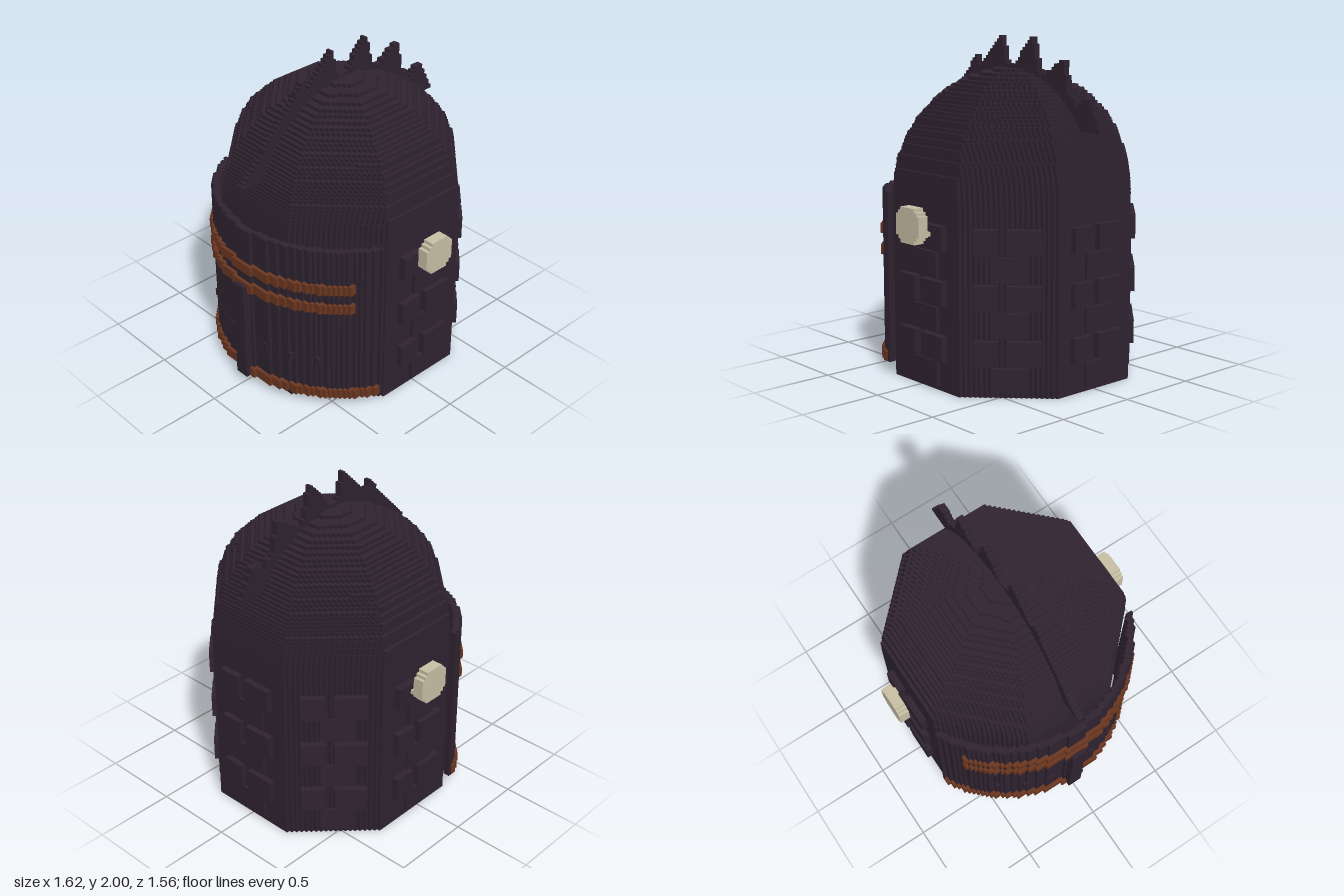
import * as THREE from 'three';
import { mergeGeometries } from 'three/addons/utils/BufferGeometryUtils.js';

const V = 0.0206;   // block size
const CZ = -0.05;   // z of the tower axis
const APO = 0.685;  // octagon apothem

const mat = (name, color) => {
  const m = new THREE.MeshStandardMaterial({ color });
  m.name = name;
  return m;
};

function box(x0, x1, y0, y1, z0, z1) {
  const g = new THREE.BoxGeometry(x1 - x0, y1 - y0, z1 - z0);
  g.translate((x0 + x1) / 2, (y0 + y1) / 2, (z0 + z1) / 2);
  return g;
}

// Block-stepped prism: half-width in x is a function of the row's distance from the axis
function steppedPrism(halfWidth, depth, y0, y1) {
  const rows = Math.max(1, Math.round(2 * depth / V));
  const step = 2 * depth / rows;
  const right = [];
  for (let i = 0; i < rows; i++) {
    const z = -depth + (i + 0.5) * step;
    const w = Math.max(V, Math.round(halfWidth(Math.abs(z)) / V) * V);
    right.push([w, z - step / 2], [w, z + step / 2]);
  }
  const left = right.map(([x, z]) => [-x, z]).reverse();
  const shape = new THREE.Shape([...right, ...left].map(([x, z]) => new THREE.Vector2(x, z)));
  const g = new THREE.ExtrudeGeometry(shape, { depth: y1 - y0, bevelEnabled: false });
  g.rotateX(-Math.PI / 2);
  g.translate(0, y0, CZ);
  return g;
}

const octagon = (a, y0, y1) => steppedPrism(d => Math.min(a, a * Math.SQRT2 - d), a, y0, y1);

// Curved front wall made of square columns between two radii
function blockArc(r0, r1, y0, y1, maxX, minZ) {
  const parts = [];
  for (let i = -40; i < 40; i++) {
    for (let k = 0; k < 42; k++) {
      const x = (i + 0.5) * V, dz = (k + 0.5) * V, r = Math.hypot(x, dz);
      if (r < r0 || r >= r1 || Math.abs(x) > maxX || dz + CZ < minZ) continue;
      parts.push(box(i * V, (i + 1) * V, y0, y1, CZ + k * V, CZ + (k + 1) * V));
    }
  }
  return mergeGeometries(parts);
}

export function createModel() {
  const group = new THREE.Group();
  const dark = mat('dark plum', 0x2f2330);
  const rust = mat('rust', 0x6b3620);
  const bone = mat('bone', 0xc8bfa5);
  const add = (name, geometry, material) => {
    const m = new THREE.Mesh(geometry, material);
    m.name = name;
    group.add(m);
    return m;
  };

  // Octagonal wall and terraced dome
  const wallTop = 1.1, domeTop = 1.81;
  add('wall', octagon(APO, 0, wallTop), dark);
  const layers = [];
  const count = Math.round((domeTop - wallTop) / V);
  const h = (domeTop - wallTop) / count;
  for (let i = 0; i < count; i++) {
    const t = (i + 0.5) / count;
    layers.push(octagon(APO * Math.sqrt(1 - t * t), wallTop + i * h, wallTop + (i + 1) * h));
  }
  add('dome', mergeGeometries(layers), dark);

  // Raised bricks on the sides, back and rear corners
  const bricks = [];
  for (const turn of [2, 3, 4, 5, 6]) {
    for (let row = 0; row < 6; row++) {
      const y = 0.03 + row * 0.159;
      const spans = row % 2 ? [[-0.19, -0.05], [0, 0.19]] : [[-0.08, 0.12]];
      const out = APO + (row % 2 ? 0.037 : 0.018);
      for (const [a, b] of spans) {
        const g = box(a, b, y, y + 0.145, APO - 0.03, out);
        g.rotateY(turn * Math.PI / 4);
        g.translate(0, 0, CZ);
        bricks.push(g);
      }
    }
  }
  add('bricks', mergeGeometries(bricks), dark);

  // Curved front shield with its bands, middle bar and studs
  add('frontShield', blockArc(0.735, 0.775, 0.07, 1.1, 0.71, 0.27), dark);
  add('upperBand', blockArc(0.775, 0.797, 0.82, 0.88, 0.615, 0.39), rust);
  add('middleBand', blockArc(0.775, 0.797, 0.69, 0.75, 0.615, 0.39), rust);
  add('lowerBand', blockArc(0.775, 0.797, 0.07, 0.13, 0.71, 0.27), rust);
  add('middleBar', box(-0.046, 0.046, 0.07, 0.73, 0.69, 0.78), dark);
  for (const x of [-0.46, -0.31, -0.155, 0.155, 0.31, 0.46]) {
    const z = CZ + Math.sqrt(0.775 ** 2 - x * x);
    add('stud', box(x - 0.02, x + 0.02, 0.31, 0.355, z - 0.03, z + 0.012), dark);
  }

  // Jagged crest: [z, top] pairs from front to back, filled with columns
  const ridge = [[0.735, 1.365], [0.26, 1.885], [0.25, 1.795], [0.045, 2.0], [0.0, 1.83], [-0.075, 1.83],
    [-0.21, 2.0], [-0.225, 2.0], [-0.29, 1.77], [-0.49, 1.885], [-0.51, 1.75], [-0.53, 1.66], [-0.575, 1.66],
    [-0.58, 1.61], [-0.66, 1.67], [-0.69, 1.67], [-0.78, 1.48]];
  const topAt = z => {
    const i = ridge.findIndex(p => p[0] <= z);
    const [z0, y0] = ridge[i - 1], [z1, y1] = ridge[i];
    return THREE.MathUtils.lerp(y0, y1, (z - z0) / (z1 - z0));
  };
  const columns = [];
  const n = 74, w = (0.735 + 0.78) / n;
  for (let i = 0; i < n; i++) {
    const z = 0.735 - (i + 0.5) * w;
    const bottom = z > 0 ? 1.365 : 1.48;
    const top = Math.min(2, Math.max(bottom + V, Math.round(topAt(z) / V) * V));
    columns.push(box(-V, V, bottom, top, z - w / 2, z + w / 2));
  }
  add('crest', mergeGeometries(columns), dark);

  // Round side knobs on short stubs
  for (const s of [-1, 1]) {
    const disc = steppedPrism(d => Math.min(0.11, 0.158 - d), 0.103, -0.033, 0.033);
    disc.translate(0, 0, -CZ);
    disc.rotateX(Math.PI / 2);
    disc.rotateY(Math.PI / 2);
    disc.translate(s * 0.777, 0.962, CZ);
    add('knob', disc, bone);
    const stub = box(-0.04, 0.04, 0.905, 0.93, -0.15, -0.11);
    stub.translate(s * 0.715, 0, 0);
    add('knobStub', stub, bone);
  }
  return group;
}
